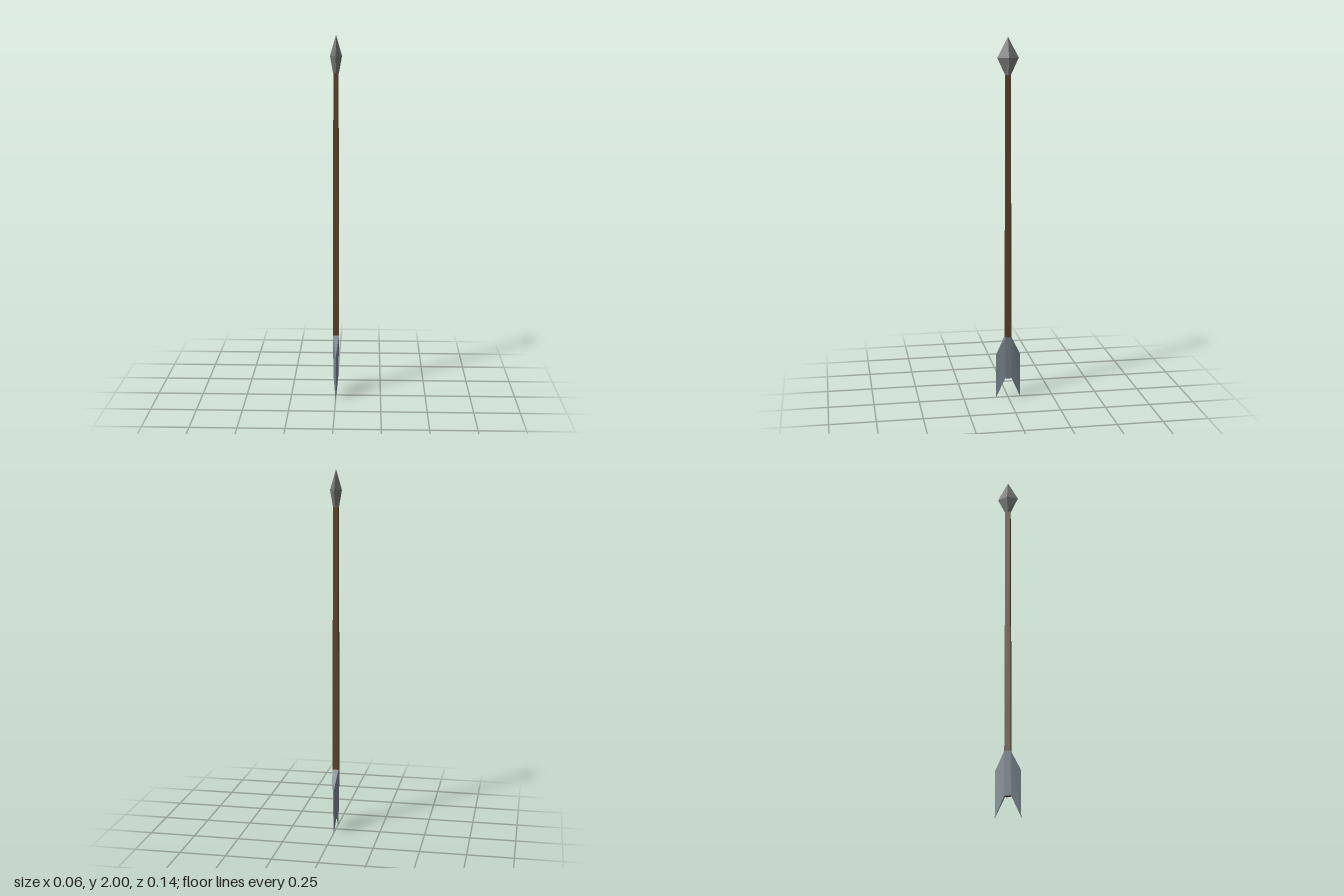
import * as THREE from 'three';

// Skin a series of four-cornered rings (each counter-clockwise about the loft axis) with capped ends
function loft(rings) {
  const pos = [];
  const quad = (a, b, c, d) => pos.push(...a, ...b, ...c, ...a, ...c, ...d);
  for (let r = 0; r < rings.length - 1; r++) {
    const lo = rings[r], hi = rings[r + 1];
    for (let i = 0; i < 4; i++) {
      const j = (i + 1) % 4;
      quad(lo[i], lo[j], hi[j], hi[i]);
    }
  }
  quad(...[...rings[0]].reverse());
  quad(...rings[rings.length - 1]);
  const geo = new THREE.BufferGeometry();
  geo.setAttribute('position', new THREE.Float32BufferAttribute(pos, 3));
  geo.computeVertexNormals();
  return geo;
}

// Ring shapes
const square = (y, h) => [[-h, y, h], [h, y, h], [h, y, -h], [-h, y, -h]];
const diamond = (y, x, z) => [[0, y, z], [x, y, 0], [0, y, -z], [-x, y, 0]];
const vaneSection = (z, bottom, xBottom, top, xTop) =>
  [[-xBottom, bottom, z], [xBottom, bottom, z], [xTop, top, z], [-xTop, top, z]];

export function createModel() {
  const group = new THREE.Group();
  group.name = 'arrow';
  const add = (name, geometry, color) => {
    const mesh = new THREE.Mesh(geometry, new THREE.MeshStandardMaterial({ color, flatShading: true }));
    mesh.name = name;
    group.add(mesh);
  };

  // Square shaft, tapering gently to the head and inside the fletching
  add('shaft', loft([square(0.112, 0.012), square(0.35, 0.0168), square(1.8, 0.0137)]), 0x5c4128);

  // Faceted diamond point
  add('head', loft([diamond(1.8, 0.016, 0.016), diamond(1.89, 0.032, 0.058), diamond(2, 0, 0)]), 0x777777);

  // Fletching: thick core with swept vanes thinning to their outer edges
  add('fletching', loft([
    vaneSection(-0.068, 0, 0.001, 0.25, 0.001),
    vaneSection(-0.0172, 0.115, 0.013, 0.353, 0.0172),
    vaneSection(0.0172, 0.115, 0.013, 0.353, 0.0172),
    vaneSection(0.068, 0, 0.001, 0.25, 0.001),
  ]), 0x77828a);

  return group;
}
